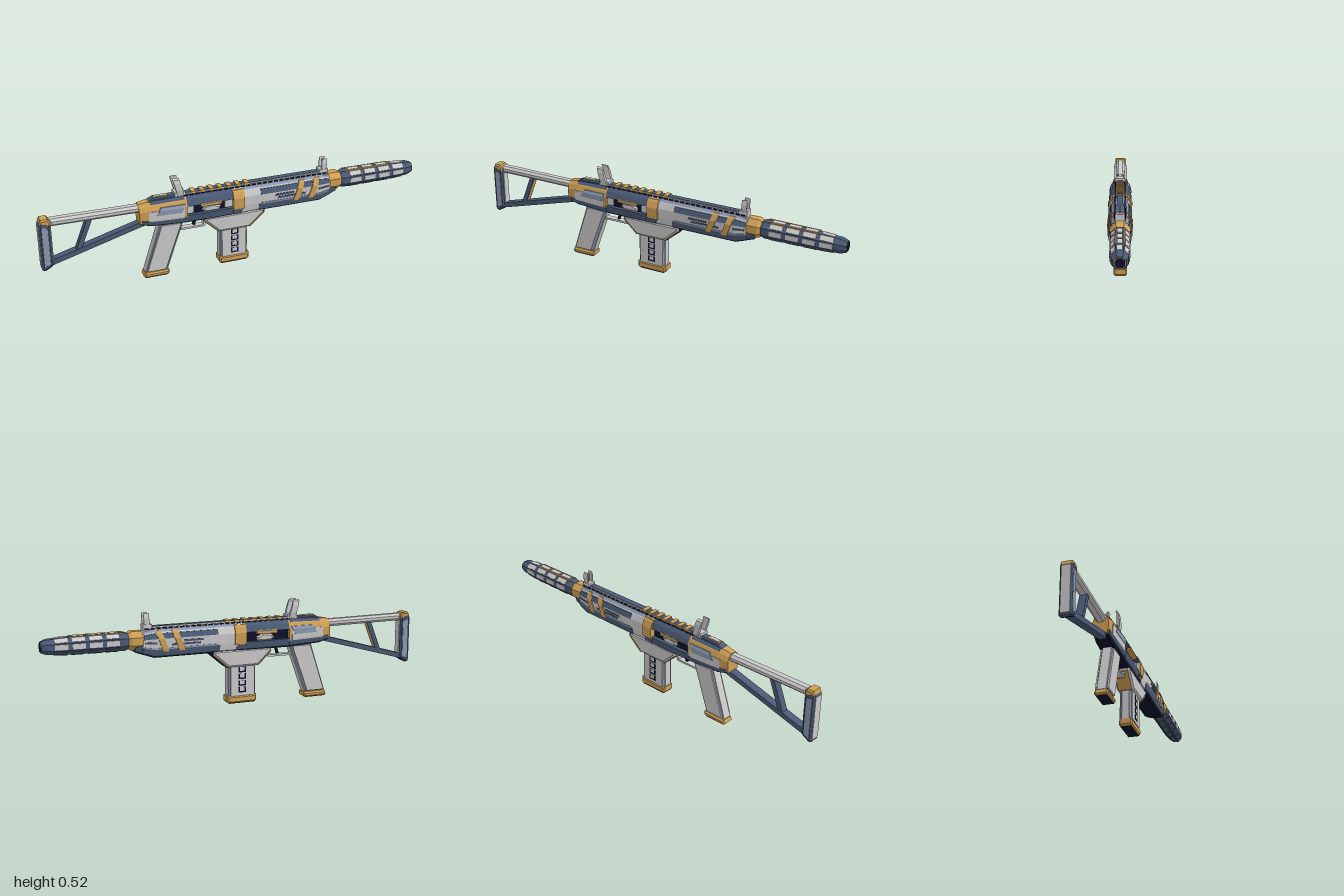
import * as THREE from 'three';

const paint = (name, color) =>
  Object.assign(new THREE.MeshStandardMaterial({ color, side: THREE.DoubleSide }), { name });

export function createModel() {
  const root = new THREE.Group();
  root.name = 'rifle';
  const gray = paint('light gray', 0xcccacb), gold = paint('gold', 0xd0a055);
  const blue = paint('slate blue', 0x4a5a75), pale = paint('pale blue', 0x8c9ab3);
  const dark = paint('dark navy', 0x0f102b);

  function add(name, geo, mat, x = 0, y = 0, z = 0, parent = root) {
    const m = new THREE.Mesh(geo, mat);
    m.name = name;
    m.position.set(x, y, z);
    parent.add(m);
    return m;
  }
  const box = (name, mat, x0, x1, y0, y1, w, z = 0) =>
    add(name, new THREE.BoxGeometry(x1 - x0, y1 - y0, w), mat, (x0 + x1) / 2, (y0 + y1) / 2, z);
  // Straight bar between two points of the side plane
  function beam(name, mat, x0, y0, x1, y1, h, w, z = 0) {
    const geo = new THREE.BoxGeometry(Math.hypot(x1 - x0, y1 - y0), h, w);
    add(name, geo, mat, (x0 + x1) / 2, (y0 + y1) / 2, z).rotation.z = Math.atan2(y1 - y0, x1 - x0);
  }
  // Side outline extruded across z, with chamfered edges
  function slab(name, mat, pts, w, b = 0.008) {
    const g = new THREE.ExtrudeGeometry(new THREE.Shape(pts.map(p => new THREE.Vector2(...p))),
      { depth: w - 2 * b, bevelEnabled: b > 0, bevelThickness: b, bevelSize: b, bevelOffset: -b, bevelSegments: 1 });
    add(name, g.translate(0, 0, -w / 2 + b), mat);
  }
  // Closed body from rings of equal point count, running along +x
  function loft(name, mat, rings) {
    const t = [], n = rings[0].length, a = rings[0], z = rings[rings.length - 1];
    for (let k = 0; k + 1 < rings.length; k++) for (let i = 0; i < n; i++) {
      const j = (i + 1) % n, r = rings[k], s = rings[k + 1];
      t.push(r[i], r[j], s[i], r[j], s[j], s[i]);
    }
    for (let i = 1; i + 1 < n; i++) t.push(a[0], a[i + 1], a[i], z[0], z[i], z[i + 1]);
    const g = new THREE.BufferGeometry();
    g.setAttribute('position', new THREE.Float32BufferAttribute(t.flat(), 3));
    g.computeVertexNormals();
    add(name, g, mat);
  }

  // Receiver section [y, half width] and its changes along x [x, width, height]
  const profile = [[0.426, 0.022], [0.405, 0.042], [0.375, 0.055], [0.325, 0.053], [0.29, 0.047], [0.28, 0.034]];
  const stations = [[-0.51, 0.72, 0.72], [-0.45, 0.86, 0.9], [-0.27, 1, 1], [-0.15, 1.06, 1], [-0.03, 1, 1],
    [0.08, 0.92, 1], [0.16, 1, 1], [0.45, 0.98, 1], [0.545, 0.72, 0.62]];
  const lerp = THREE.MathUtils.lerp;
  function surface(x, y, out) {
    let i = 0, k = 0;
    while (i < stations.length - 2 && x > stations[i + 1][0]) i++;
    while (k < profile.length - 2 && y < profile[k + 1][0]) k++;
    const [p, q] = [stations[i], stations[i + 1]], [r, s] = [profile[k], profile[k + 1]];
    const f = THREE.MathUtils.clamp((x - p[0]) / (q[0] - p[0]), 0, 1);
    const half = lerp(r[1], s[1], (y - r[0]) / (s[0] - r[0]));
    return [x, 0.365 + (y - 0.365) * lerp(p[2], q[2], f), half * lerp(p[1], q[1], f) + out];
  }
  // Slice of the receiver; with a small offset it becomes a thin panel on both sides
  function section(name, mat, x0, x1, y0 = 0.287, y1 = 0.426, out = 0, slant = 0) {
    const xs = [x0, ...stations.map(s => s[0]).filter(x => x > x0 && x < x1), x1];
    const ys = [y1, ...profile.map(p => p[0]).filter(y => y > y0 && y < y1), y0];
    loft(name, mat, xs.map(x => {
      const half = ys.map(y => surface(x + slant * (y - 0.36), y, out));
      return [...half, ...half.map(p => [p[0], p[1], -p[2]]).reverse()];
    }));
  }
  const panel = (name, mat, x0, x1, y0, y1, slant = 0, out = 0.003) => section(name, mat, x0, x1, y0, y1, out, slant);

  // Receiver: rear block, open middle, front block, dark belly
  section('rearReceiver', gold, -0.51, -0.27);
  panel('rearPanel', gray, -0.465, -0.285, 0.315, 0.375);
  panel('rearPanelTop', pale, -0.42, -0.295, 0.348, 0.39, 0.5, 0.005);
  panel('rearLowerEdge', blue, -0.5, -0.27, 0.287, 0.315);
  panel('rearUpperEdge', blue, -0.45, -0.28, 0.41, 0.425);
  section('upperReceiver', blue, -0.27, -0.03, 0.375, 0.426);
  section('lowerReceiver', blue, -0.27, -0.03, 0.287, 0.326);
  box('innerFrame', dark, -0.28, -0.02, 0.31, 0.39, 0.07);
  box('windowRearPlate', gray, -0.27, -0.235, 0.33, 0.368, 0.006, 0.036);
  box('windowFrontPlate', gray, -0.07, -0.03, 0.33, 0.368, 0.006, 0.036);
  box('boltCover', gold, -0.2, -0.09, 0.362, 0.382, 0.112);
  slab('bolt', gray, [[-0.19, 0.335], [-0.17, 0.322], [-0.1, 0.322], [-0.09, 0.345], [-0.13, 0.362], [-0.18, 0.355]], 0.086);
  section('frontReceiver', gray, -0.03, 0.505);
  section('handguardNose', blue, 0.505, 0.545);
  section('underside', dark, -0.5, 0.545, 0.28, 0.287);
  panel('middleBand', gold, -0.03, 0.03, 0.315, 0.415, 0, 0.007);
  panel('middleLowerEdge', blue, -0.03, 0.02, 0.287, 0.312);

  // Handguard panels, vents and slanted bands
  panel('handguardTop', blue, 0.12, 0.5, 0.376, 0.402);
  panel('handguardEdge', pale, 0.03, 0.5, 0.409, 0.421);
  panel('handguardBottom', blue, 0.11, 0.51, 0.287, 0.322);
  panel('handguardLip', pale, 0.12, 0.5, 0.322, 0.33);
  for (const [a, b, y] of [[0.2, 0.3, 0.355], [0.22, 0.37, 0.339], [0.44, 0.5, 0.35]])
    panel('vent', blue, a, b, y, y + 0.01, 0.4);
  for (const x of [0.312, 0.395]) panel('slantedBand', gold, x, x + 0.031, 0.312, 0.414, 0.35, 0.006);

  // Top rail with toothed edges and raised blocks
  box('topRail', gray, -0.3, 0.5, 0.424, 0.432, 0.038);
  box('railStrip', blue, -0.29, 0.49, 0.43, 0.434, 0.03);
  for (let i = 0; i < 26; i++) box('railTooth', dark, -0.28 + i * 0.03, -0.258 + i * 0.03, 0.42, 0.426, 0.054);
  for (let i = 0; i < 7; i++) box('railBlock', gold, -0.238 + i * 0.047, -0.215 + i * 0.047, 0.424, 0.438, 0.046);
  slab('rearTopBlock', blue, [[-0.475, 0.41], [-0.3, 0.41], [-0.3, 0.433], [-0.43, 0.433]], 0.044, 0.006);
  box('rearTopInset', gold, -0.43, -0.36, 0.431, 0.435, 0.026);
  box('rearTopPlate', gray, -0.42, -0.37, 0.432, 0.437, 0.018);

  // Sights: paired prongs outlined in [z, y] and leaned along x
  function prongs(name, pts, x, len, lean) {
    for (const s of [1, -1]) {
      const shape = new THREE.Shape(pts.map(([z, y]) => new THREE.Vector2(-z * s, y - 0.43)));
      const g = new THREE.ExtrudeGeometry(shape, { depth: len, bevelEnabled: false }).rotateY(Math.PI / 2);
      add(name, g.applyMatrix4(new THREE.Matrix4().makeShear(0, 0, lean, 0, 0, 0)), gray, x, 0.43);
    }
  }
  box('rearSightBase', gray, -0.325, -0.27, 0.42, 0.446, 0.05);
  box('rearSightPin', gold, -0.305, -0.29, 0.428, 0.438, 0.058);
  prongs('rearSightProng', [[0.015, 0.43], [0.03, 0.43], [0.035, 0.46], [0.034, 0.495], [0.029, 0.514],
    [0.018, 0.521], [0.022, 0.505], [0.021, 0.475], [0.018, 0.445]], -0.311, 0.034, -0.28);
  box('frontSightBase', gray, 0.455, 0.5, 0.415, 0.445, 0.046);
  prongs('frontSightProng', [[0.012, 0.43], [0.02, 0.43], [0.021, 0.475], [0.016, 0.5], [0.014, 0.475]], 0.465, 0.028, 0.05);
  box('frontSightPost', gray, 0.475, 0.485, 0.43, 0.493, 0.005);

  // Octagonal barrel parts from [x, radius] stations
  const cy = 0.368;
  const barrel = (name, mat, st) => loft(name, mat, st.map(([x, r]) => Array.from({ length: 8 }, (_, i) => {
    const a = (i + 0.5) * Math.PI / 4, c = r / Math.cos(Math.PI / 8);
    return [x, cy + c * Math.cos(a), c * Math.sin(a)];
  })));
  barrel('barrelCollar', gold, [[0.49, 0.036], [0.51, 0.047], [0.56, 0.047], [0.58, 0.036]]);
  barrel('suppressor', blue, [[0.57, 0.036], [0.59, 0.044], [0.86, 0.042], [0.97, 0.036], [0.997, 0.027]]);
  barrel('muzzleRing', gold, [[0.99, 0.024], [0.9985, 0.024]]);
  barrel('muzzleTip', dark, [[0.99, 0.022], [1, 0.022]]);
  // Plate rows, starting at the top and going round by the back
  [gray, gray, gray, blue, blue, blue, gray, gray].forEach((mat, k) => {
    const row = new THREE.Group();
    row.name = 'suppressorPlates';
    row.position.y = cy;
    row.rotation.x = -k * Math.PI / 4 - Math.PI / 2;
    root.add(row);
    for (let i = 0; i < 4; i++) {
      const x = 0.655 + i * 0.083, end = x > 0.86;
      const r = end ? 0.042 - (x - 0.86) * 0.054 : 0.044 - (x - 0.59) * 0.0075;
      add('suppressorPlate', new THREE.BoxGeometry(0.063, 0.025, 0.007), mat, x, 0, r, row).rotation.y = end ? 0.054 : 0.0075;
    }
  });
  for (const s of [1, -1]) beam('suppressorGoldLine', gold, 0.6, 0.412, 0.86, 0.41, 0.006, 0.006, s * 0.019);

  // Shoulder stock
  slab('buttPad', blue, [[-0.997, 0.145], [-0.985, 0.14], [-0.943, 0.165], [-0.943, 0.4], [-0.955, 0.41], [-0.985, 0.41], [-0.997, 0.39]], 0.06);
  slab('buttCap', gold, [[-0.995, 0.392], [-0.942, 0.376], [-0.942, 0.4], [-0.953, 0.414], [-0.987, 0.414]], 0.063, 0.007);
  slab('buttFace', pale, [[-0.987, 0.16], [-0.954, 0.176], [-0.954, 0.37], [-0.987, 0.378]], 0.062, 0.002);
  beam('buttBottom', dark, -0.982, 0.141, -0.945, 0.163, 0.004, 0.044);
  box('buttInnerPlate', gray, -0.945, -0.938, 0.18, 0.37, 0.036);
  box('buttRearPlate', gray, -1, -0.995, 0.155, 0.385, 0.044);
  slab('stockTube', gray, [[-0.945, 0.37], [-0.49, 0.366], [-0.49, 0.404], [-0.945, 0.408]], 0.05, 0.012);
  beam('lowerStrut', blue, -0.95, 0.175, -0.48, 0.307, 0.026, 0.04);
  beam('crossStrut', blue, -0.815, 0.215, -0.752, 0.375, 0.024, 0.036);
  beam('crossStrutFace', gold, -0.803, 0.218, -0.742, 0.372, 0.005, 0.026);

  // Grip with pale chamfers, trigger and guard
  slab('grip', pale, [[-0.487, 0.03], [-0.375, 0.03], [-0.285, 0.285], [-0.405, 0.285]], 0.064, 0.012);
  slab('gripSides', gray, [[-0.48, 0.036], [-0.385, 0.036], [-0.299, 0.28], [-0.399, 0.28]], 0.067, 0);
  beam('gripRear', gray, -0.487, 0.03, -0.406, 0.282, 0.004, 0.044);
  beam('gripFront', gray, -0.375, 0.03, -0.286, 0.282, 0.004, 0.044);
  slab('gripBase', gold, [[-0.497, 0.008], [-0.49, 0.001], [-0.375, 0.001], [-0.366, 0.008], [-0.366, 0.028], [-0.49, 0.028]], 0.068);
  box('gripBaseBottom', dark, -0.486, -0.378, 0, 0.004, 0.054);
  beam('triggerGuard', gray, -0.315, 0.236, -0.17, 0.236, 0.01, 0.03);
  beam('triggerGuardFront', gray, -0.172, 0.234, -0.165, 0.285, 0.012, 0.03);
  beam('trigger', dark, -0.225, 0.245, -0.212, 0.285, 0.011, 0.016);

  // Magazine well with front and rear sloped faces
  slab('magazineWell', gray, [[-0.175, 0.29], [-0.175, 0.268], [-0.1, 0.198], [0.062, 0.198], [0.142, 0.268], [0.142, 0.29]], 0.088, 0.01);
  beam('wellFrontTrim', gold, 0.063, 0.198, 0.142, 0.267, 0.004, 0.08);
  beam('wellFrontFace', dark, 0.065, 0.197, 0.144, 0.264, 0.004, 0.064);
  box('wellFrontLip', dark, 0.138, 0.145, 0.262, 0.288, 0.07);
  beam('wellRearTrim', gold, -0.176, 0.267, -0.101, 0.197, 0.004, 0.07);

  // Magazine with pale chamfers and dark ladder slots
  slab('magazine', pale, [[-0.092, 0.035], [0.056, 0.035], [0.052, 0.205], [-0.09, 0.205]], 0.064, 0.012);
  box('magazineSides', gray, -0.083, 0.046, 0.045, 0.2, 0.066);
  box('magazineEnds', gray, -0.0935, 0.0565, 0.045, 0.2, 0.038);
  slab('magazineBase', gold, [[-0.097, 0.018], [-0.09, 0.008], [0.056, 0.008], [0.064, 0.018], [0.064, 0.046], [-0.097, 0.046]], 0.068);
  box('magazineBaseBottom', dark, -0.086, 0.052, 0.006, 0.012, 0.054);
  for (let i = 0; i < 4; i++) {
    const y = 0.062 + i * 0.035;
    box('magazineSlot', dark, -0.036, 0.004, y, y + 0.028, 0.069);
    box('magazineSlotFill', gray, -0.028, -0.004, y + 0.008, y + 0.028, 0.071);
  }
  return root;
}
